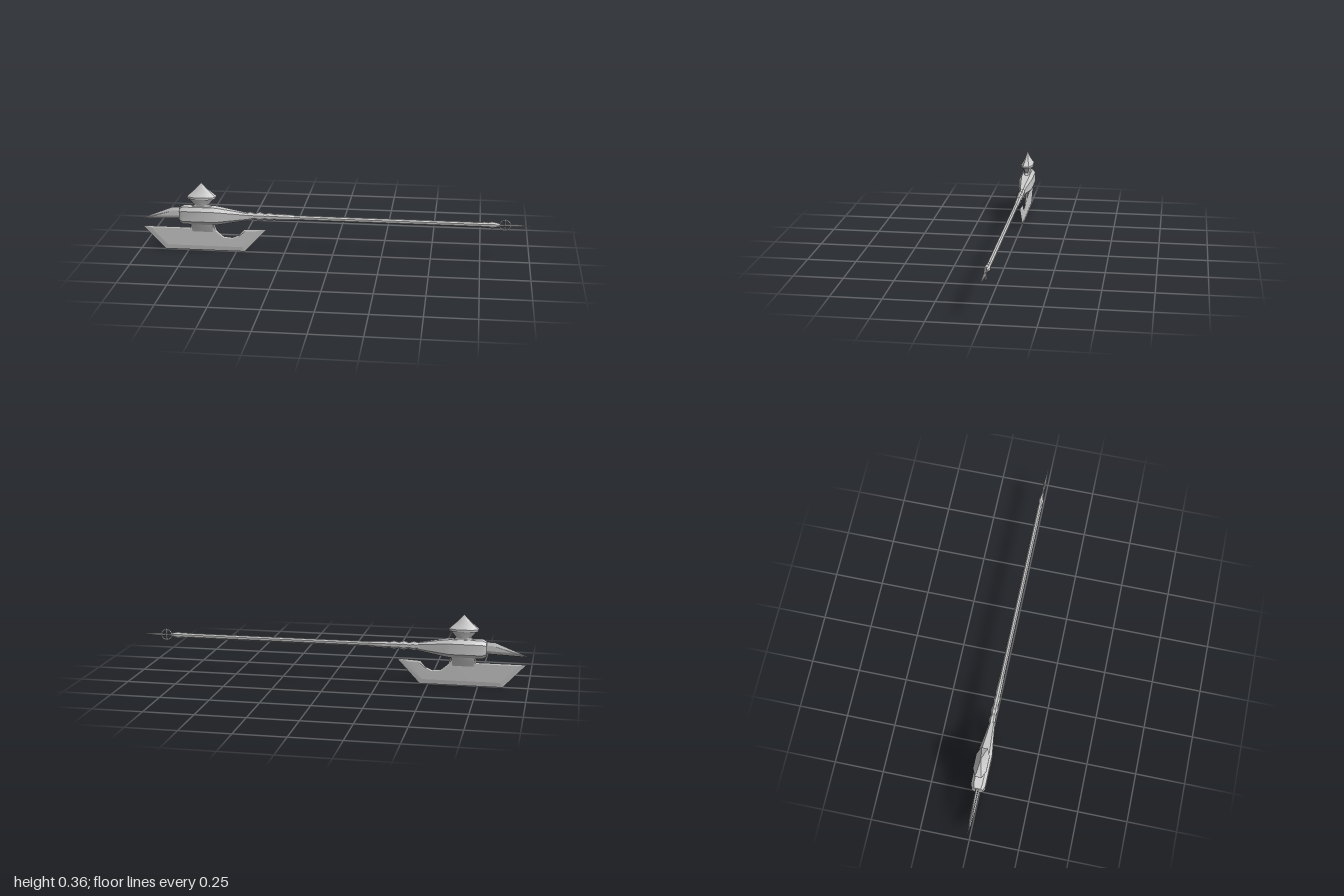
import * as THREE from 'three';
import { toCreasedNormals } from 'three/addons/utils/BufferGeometryUtils.js';

const SHAFT_Y = 0.2, MID_Z = -0.003;
const material = new THREE.MeshStandardMaterial({ color: 0xcccccc });

function fromTriangles(points, index, crease = 0.6) {
  const g = new THREE.BufferGeometry();
  g.setAttribute('position', new THREE.Float32BufferAttribute(points.flat(), 3));
  g.setIndex(index);
  return toCreasedNormals(g, crease);
}

// Chamfered eight-sided sections along x; each section is [x, halfY, halfZ], k is the flat share
function loft(sections, k = 0.414, crease = 0.6) {
  const ring = [[1, k], [k, 1], [-k, 1], [-1, k], [-1, -k], [-k, -1], [k, -1], [1, -k]];
  const points = [], index = [];
  for (const [x, hy, hz] of sections) for (const [a, b] of ring) points.push([x, a * hy, b * hz]);
  const last = (sections.length - 1) * 8;
  for (let s = 0; s < last; s += 8) {
    for (let j = 0; j < 8; j++) {
      const a = s + j, b = s + (j + 1) % 8;
      index.push(a, b, a + 8, b, b + 8, a + 8);
    }
  }
  for (let j = 1; j < 7; j++) index.push(0, j + 1, j, last, last + j, last + j + 1);
  return fromTriangles(points, index, crease);
}

// Flat blade: sharp outer outline at z = 0, raised inner outline at z = +-half
function blade(outer, inner, half) {
  const n = outer.length, points = [], index = [];
  const faces = THREE.ShapeUtils.triangulateShape(inner.map(p => new THREE.Vector2(...p)), []);
  for (const side of [1, -1]) {
    const base = points.length;
    outer.forEach(p => points.push([...p, 0]));
    inner.forEach(p => points.push([...p, side * half]));
    const add = (a, b, c) => index.push(base + a, base + (side > 0 ? b : c), base + (side > 0 ? c : b));
    for (let j = 0; j < n; j++) {
      const k = (j + 1) % n;
      add(j, k, n + j);
      add(k, n + k, n + j);
    }
    faces.forEach(([a, b, c]) => add(n + a, n + b, n + c));
  }
  return fromTriangles(points, index, 0.1);
}

export function createModel() {
  const model = new THREE.Group();
  const add = (name, geometry, x = 0, y = 0, z = MID_Z) => {
    const mesh = new THREE.Mesh(geometry, material);
    mesh.name = name;
    mesh.position.set(x, y, z);
    model.add(mesh);
    return mesh;
  };

  // Head block tapering into the shaft
  add('headSocket', loft([
    [-0.79, 0.036, 0.028], [-0.77, 0.046, 0.036], [-0.61, 0.046, 0.036],
    [-0.585, 0.043, 0.033], [-0.5, 0.029, 0.021], [-0.43, 0.017, 0.013],
  ], 0.58), 0, 0.198, 0);

  // Knotted grip and long shaft
  add('knottedGrip', loft([
    [-0.45, 0.017, 0.013], [-0.425, 0.023, 0.017], [-0.4, 0.015, 0.012], [-0.375, 0.024, 0.018],
    [-0.35, 0.015, 0.012], [-0.325, 0.021, 0.016], [-0.3, 0.014, 0.012], [-0.285, 0.017, 0.014],
    [-0.2, 0.014, 0.012], [-0.195, 0.011, 0.01],
  ]), 0, SHAFT_Y);
  add('shaft', loft([[-0.22, 0.012, 0.011], [0.78, 0.012, 0.011]]), 0, SHAFT_Y);

  // Collar at the butt
  add('buttCollar', loft([
    [0.755, 0.012, 0.011], [0.765, 0.015, 0.012], [0.785, 0.012, 0.01], [0.805, 0.017, 0.014],
    [0.825, 0.013, 0.01], [0.845, 0.008, 0.006],
  ]), 0, SHAFT_Y);

  // Ring with crossing spindles and end spike
  add('buttRing', new THREE.TorusGeometry(0.027, 0.004, 6, 20), 0.87, SHAFT_Y);
  const spindle = [[-0.037, 0.0005, 0.0005], [-0.026, 0.005, 0.007], [0, 0.003, 0.004],
    [0.026, 0.005, 0.007], [0.037, 0.0005, 0.0005]];
  add('ringSpindle', loft(spindle), 0.87, SHAFT_Y);
  add('ringSpindle', loft(spindle), 0.87, SHAFT_Y).rotation.z = Math.PI / 2;
  add('buttSpike', loft([[0.892, 0.005, 0.005], [0.91, 0.007, 0.006], [1, 0.0005, 0.0005]]), 0, SHAFT_Y);

  // Pointed hammer on top of the head
  add('topHammer', loft([
    [0.23, 0.058, 0.018], [0.243, 0.05, 0.015], [0.255, 0.037, 0.016], [0.287, 0.062, 0.027],
    [0.288, 0.072, 0.033], [0.299, 0.074, 0.033], [0.312, 0.06, 0.024], [0.335, 0.034, 0.013],
    [0.371, 0.0005, 0.0005],
  ], 0.5).rotateZ(Math.PI / 2), -0.675);

  // Forward spike blade
  add('frontSpike', blade(
    [[-1, 0.167], [-0.77, 0.176], [-0.77, 0.236], [-0.83, 0.235]],
    [[-0.93, 0.185], [-0.77, 0.193], [-0.77, 0.22], [-0.825, 0.217]], 0.006));

  // Axe blade with hooked notch
  add('axeBlade', blade(
    [[-0.99, 0.128], [-0.874, 0.006], [-0.457, 0.006], [-0.34, 0.132], [-0.46, 0.125], [-0.485, 0.095],
      [-0.52, 0.08], [-0.565, 0.085], [-0.6, 0.115], [-0.615, 0.16], [-0.735, 0.16], [-0.74, 0.128]],
    [[-0.945, 0.12], [-0.86, 0.03], [-0.47, 0.03], [-0.4, 0.118], [-0.452, 0.117], [-0.492, 0.085],
      [-0.52, 0.074], [-0.568, 0.079], [-0.607, 0.112], [-0.62, 0.16], [-0.73, 0.16], [-0.735, 0.122]], 0.0035));

  // Wedge joining blade to head
  add('bladeNeck', loft([
    [0.105, 0.054, 0.003], [0.125, 0.055, 0.009], [0.155, 0.06, 0.02], [0.17, 0.066, 0.024],
  ], 0.85).rotateZ(Math.PI / 2), -0.675);

  return model;
}
